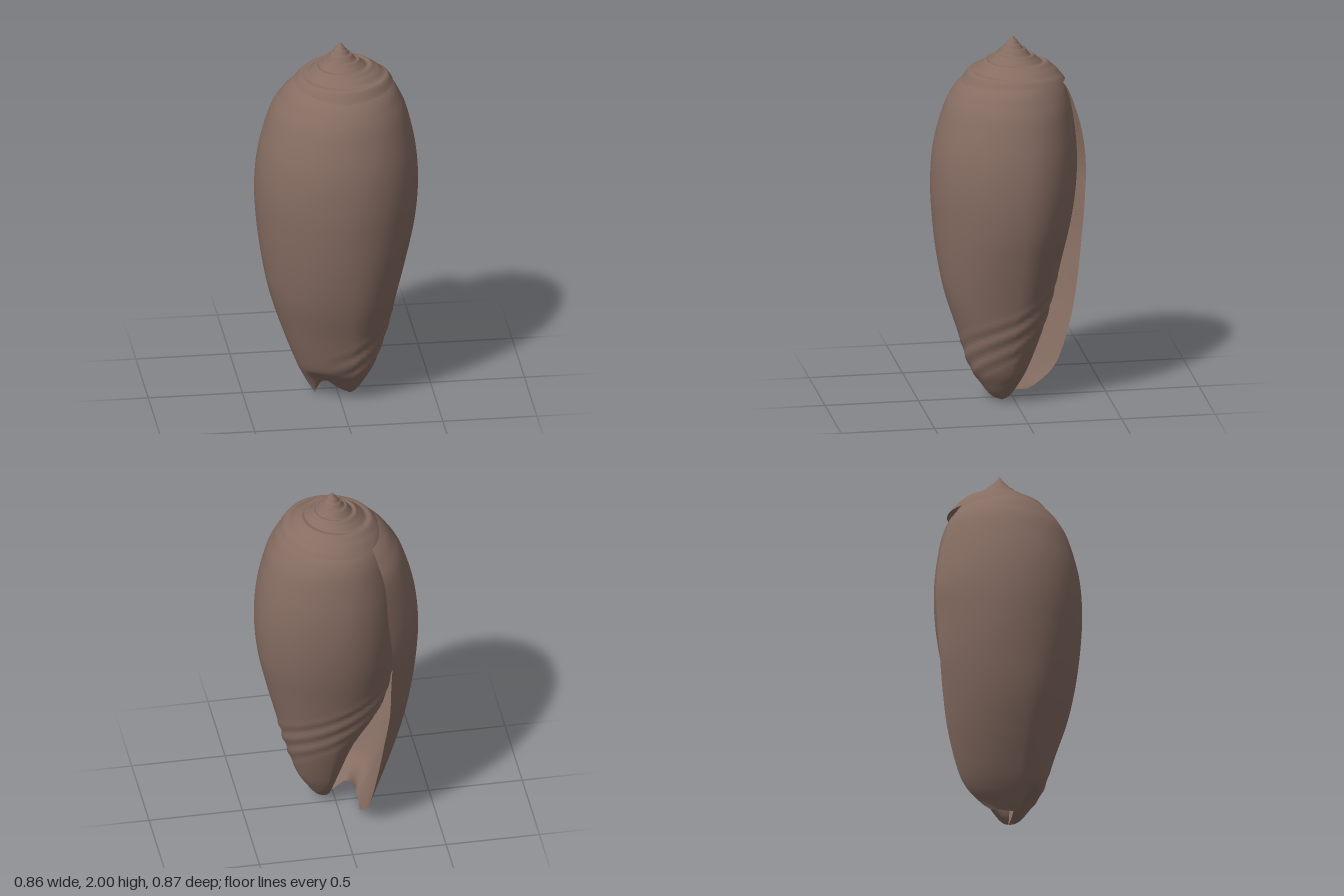
import * as THREE from 'three';

const shellBrown = new THREE.MeshStandardMaterial({ color: 0x866d62, side: THREE.DoubleSide });
shellBrown.name = 'shell brown';

// Smooth mesh from a grid of points; point(u, v) with u, v in 0..1
function gridMesh(name, rows, cols, point) {
  const pos = [], idx = [];
  for (let r = 0; r <= rows; r++)
    for (let c = 0; c <= cols; c++) pos.push(...point(r / rows, c / cols));
  for (let r = 0; r < rows; r++)
    for (let c = 0; c < cols; c++) {
      const a = r * (cols + 1) + c, b = a + cols + 1;
      idx.push(a, a + 1, b, a + 1, b + 1, b);
    }
  const g = new THREE.BufferGeometry();
  g.setAttribute('position', new THREE.Float32BufferAttribute(pos, 3));
  g.setIndex(idx);
  g.computeVertexNormals();
  const mesh = new THREE.Mesh(g, shellBrown);
  mesh.name = name;
  return mesh;
}

// Catmull-Rom interpolation of whole table rows
function sample(table, u) {
  const n = table.length - 1, f = u * n, i = Math.min(Math.floor(f), n - 1), t = f - i;
  const at = k => table[Math.max(0, Math.min(n, k))];
  return table[i].map((p1, k) => {
    const p0 = at(i - 1)[k], p2 = at(i + 1)[k], p3 = at(i + 2)[k];
    return p1 + 0.5 * t * (p2 - p0 + t * (2 * p0 - 5 * p1 + 4 * p2 - p3 + t * (3 * (p1 - p2) + p3 - p0)));
  });
}

// Sections: y, +x edge, +z edge, -x edge, -z edge, inner radius, lip x, lip z, centre x, centre z
const sections = [
  [1.83, 0.17, 0.15, -0.14, -0.15, 0.15, -0.09, -0.106, 0.02, 0],
  [1.80, 0.25, 0.215, -0.205, -0.21, 0.20, -0.125, -0.15, 0.02, 0],
  [1.76, 0.30, 0.27, -0.255, -0.24, 0.23, -0.155, -0.19, 0.02, 0],
  [1.70, 0.335, 0.32, -0.30, -0.28, 0.27, -0.175, -0.265, 0.02, 0],
  [1.60, 0.375, 0.368, -0.355, -0.31, 0.30, -0.20, -0.34, 0.02, 0],
  [1.40, 0.418, 0.42, -0.412, -0.335, 0.33, -0.21, -0.405, 0.02, 0],
  [1.20, 0.43, 0.435, -0.433, -0.332, 0.34, -0.225, -0.433, 0.02, 0],
  [1.00, 0.413, 0.426, -0.425, -0.305, 0.33, -0.22, -0.427, 0.02, 0],
  [0.80, 0.37, 0.404, -0.40, -0.258, 0.32, -0.215, -0.41, 0.03, 0.01],
  [0.60, 0.32, 0.365, -0.362, -0.21, 0.27, -0.19, -0.385, 0.04, 0.02],
  [0.40, 0.27, 0.302, -0.30, -0.155, 0.15, -0.165, -0.35, 0.045, 0.03],
  [0.20, 0.205, 0.24, -0.225, -0.08, 0.08, -0.14, -0.29, 0.05, 0.04],
  [0.10, 0.15, 0.18, -0.18, -0.03, 0.05, -0.125, -0.235, 0.05, 0.05],
  [0.03, 0.10, 0.125, -0.14, 0.02, 0.03, -0.11, -0.15, 0.05, 0.055],
  [0.00, 0.05, 0.065, -0.12, 0.06, 0, -0.11, -0.10, 0.05, 0.06],
];

// Rolled body wall: inner left -> back -> right -> front -> left -> free lip
function bodyPoint(u, v) {
  const [y, xR, zF, xL, zB, inner, lx, lz, cx, cz] = sample(sections, u);
  const s = v * 5, q = Math.min(4, Math.floor(s)), t = s - q, a = t * Math.PI / 2;
  const S = Math.sin(a), C = Math.cos(a);
  let x, z;
  if (q === 0) { x = cx - inner * C; z = cz + (zB - cz) * S; }
  else if (q === 1) { x = cx + (xR - cx) * S; z = cz + (zB - cz) * C; }
  else if (q === 2) { x = cx + (xR - cx) * C; z = cz + (zF - cz) * S; }
  else if (q === 3) { x = cx + (xL - cx) * S; z = cz + (zF - cz) * C; }
  else {
    const k = 1 - t, mz = cz + 0.53 * (lz - cz);
    x = k * k * xL + 2 * k * t * xL + t * t * lx;
    z = k * k * cz + 2 * k * t * mz + t * t * lz;
  }
  // slanting growth folds on the lower body
  const turn = (3 - s) * Math.PI / 2;
  const fold = y - (0.31 + 0.12 * turn);
  const mask = THREE.MathUtils.smoothstep(fold, -0.3, -0.18) * (1 - THREE.MathUtils.smoothstep(fold, 0, 0.05))
    * THREE.MathUtils.smoothstep(turn, -0.6, 0.2) * THREE.MathUtils.smoothstep(y, 0.08, 0.2);
  const k = 1 + 0.022 * mask * Math.sin(fold * 2 * Math.PI / 0.1);
  // notch in the lower edge between the column and the lip
  const lift = 0.075 * Math.exp(-(((s - 3.5) / 0.33) ** 2)) * (1 - THREE.MathUtils.smoothstep(y, 0, 0.2));
  return [cx + (x - cx) * k, y + lift, cz + (z - cz) * k];
}

// Low pointed spire: radius, height
const spireProfile = [
  [0, 2.0], [0.022, 1.972], [0.05, 1.937], [0.1, 1.892], [0.15, 1.86], [0.2, 1.834], [0.245, 1.8], [0.275, 1.755],
];

function spirePoint(u, v) {
  const [r, h] = sample(spireProfile, u);
  const a = -v * Math.PI * 2;
  // spiral suture steps, each whorl 1.65 times the last
  const w = Math.log(Math.max(r, 0.004) / 0.25) / Math.log(1.65) + v;
  const fade = THREE.MathUtils.smoothstep(r, 0.01, 0.08) * (1 - THREE.MathUtils.smoothstep(r, 0.24, 0.275));
  const step = 0.007 * fade * (Math.sin(w * 2 * Math.PI) + 0.35 * Math.sin(w * 4 * Math.PI));
  const x = r * Math.cos(a), z = -r * Math.sin(a);
  return [0.02 + x * (1 + 0.04 * r), h + step + 0.08 * x * (r / 0.27), z];
}

export function createModel() {
  const shell = new THREE.Group();
  shell.name = 'seaShell';
  shell.add(gridMesh('bodyWhorl', 140, 150, bodyPoint));
  shell.add(gridMesh('spire', 60, 96, (u, v) => spirePoint(u, 1 - v)));
  // spire winding: reverse so that faces point outward
  const spire = shell.children[1].geometry, up = spire.attributes.normal;
  let sum = 0;
  for (let i = 0; i < up.count; i++) sum += up.getY(i);
  if (sum < 0) {
    spire.index.array.reverse();
    spire.computeVertexNormals();
  }
  return shell;
}
